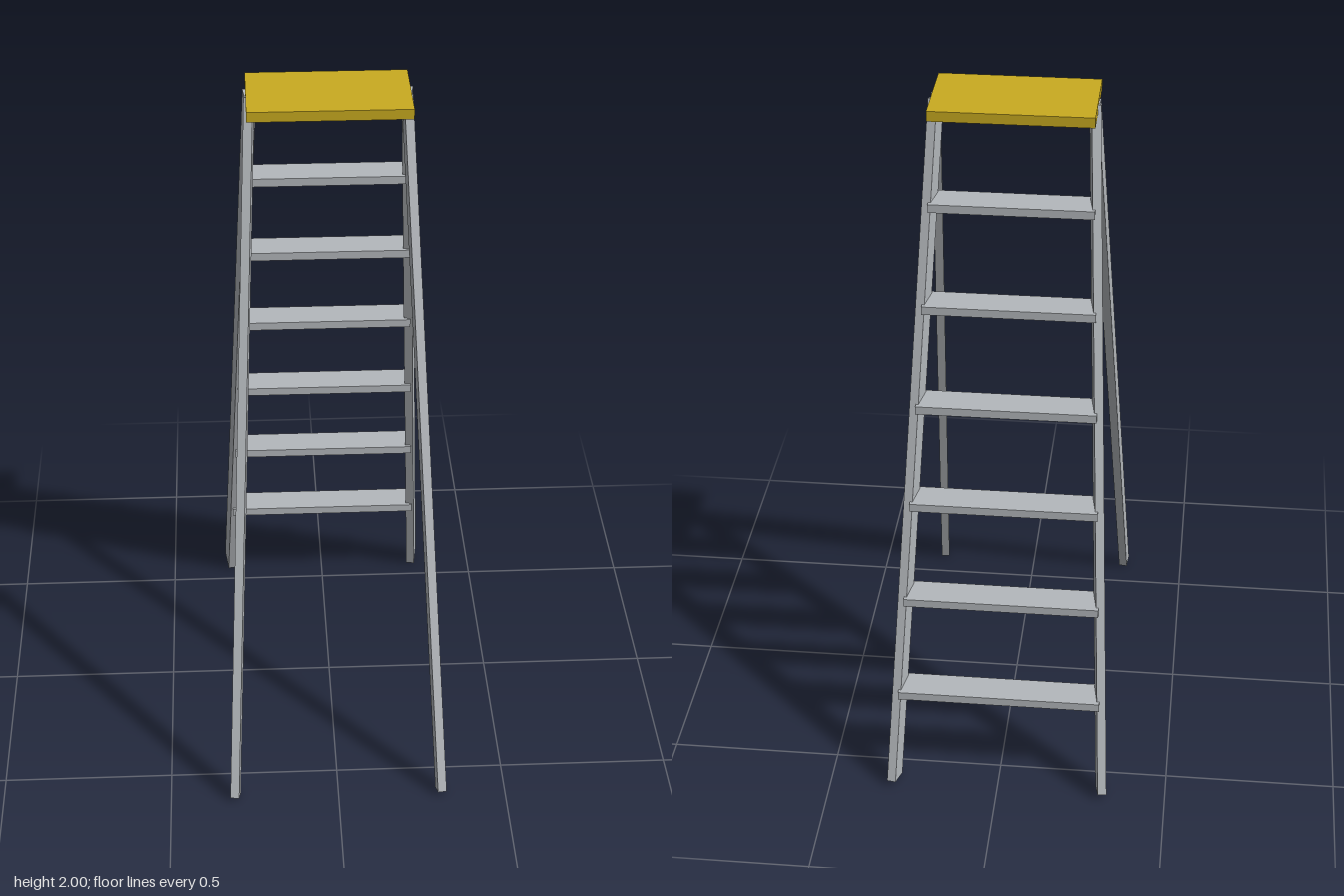
import * as THREE from 'three';

export function createModel() {
  const model = new THREE.Group();
  model.name = 'stepladder';
  const metal = new THREE.MeshStandardMaterial({ color: 0xb4b8bc });
  metal.name = 'grey metal';
  const yellow = new THREE.MeshStandardMaterial({ color: 0xc9ab20 });
  yellow.name = 'yellow';

  function box(name, w, h, d, x, y, z, material) {
    const mesh = new THREE.Mesh(new THREE.BoxGeometry(w, h, d), material);
    mesh.name = name;
    mesh.position.set(x, y, z);
    model.add(mesh);
    return mesh;
  }

  // A straight bar between two points, its width kept level
  function bar(name, from, to, width, depth) {
    const mid = from.clone().add(to).multiplyScalar(0.5);
    const mesh = box(name, width, depth, from.distanceTo(to), mid.x, mid.y, mid.z, metal);
    mesh.lookAt(to);
  }

  const footX = 0.31, headX = 0.221, footY = 0.012, headY = 1.985, apexZ = -0.047;
  const railFootZ = -0.5955;

  // Wide step rails behind, slim support legs in front
  for (const [side, s] of [['left', 1], ['right', -1]]) {
    const head = new THREE.Vector3(s * headX, headY, apexZ);
    bar(side + 'StepRail', new THREE.Vector3(s * footX, footY, railFootZ), head, 0.026, 0.071);
    bar(side + 'SupportLeg', new THREE.Vector3(s * (footX - 0.002), 0.01, 0.609), head, 0.026, 0.042);
  }

  // Steps, spanning between the rail centre lines
  for (let i = 0; i < 6; i++) {
    const y = 0.295 + i * 0.2816;
    const t = (y - footY) / (headY - footY);
    const halfWidth = THREE.MathUtils.lerp(footX, headX, t);
    const z = THREE.MathUtils.lerp(railFootZ, apexZ, t);
    box('step' + (i + 1), halfWidth * 2, 0.025, 0.097, 0, y, z, metal);
  }

  // Top platform
  box('topPlatform', 0.462, 0.03, 0.27, 0, 1.985, -0.046, yellow);
  return model;
}
